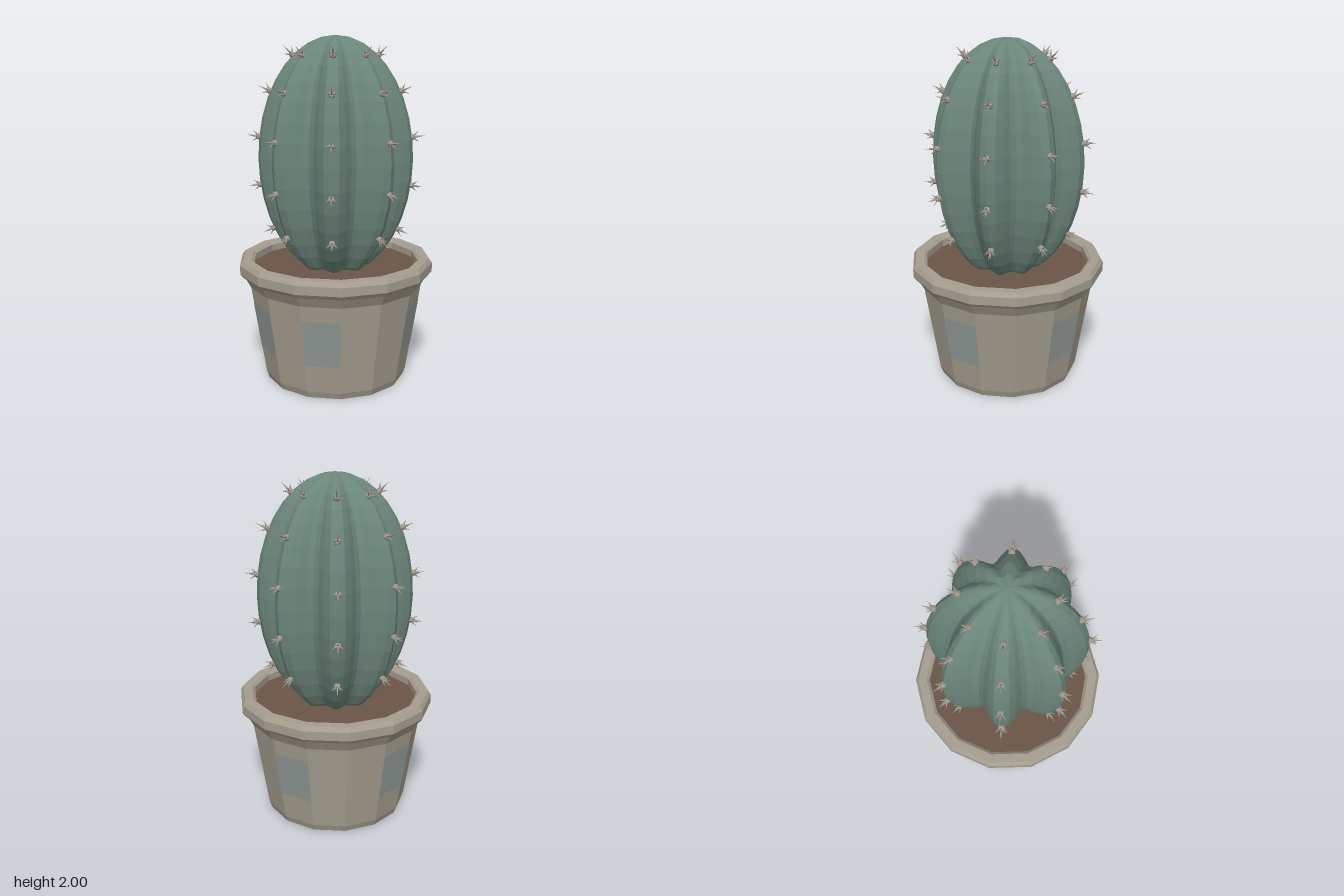
import * as THREE from 'three';

const SIDES = 14;   // pot facets
const RIBS = 8;     // cactus ribs
const BODY = { r: 0.447, h: 0.7, y: 1.3 };   // ellipsoid through the rib crests

const mat = (color, extra = {}) =>
  new THREE.MeshStandardMaterial({ color, flatShading: true, ...extra });

function lathe(name, profile, segments, material) {
  const points = profile.map(([r, y]) => new THREE.Vector2(r, y));
  const mesh = new THREE.Mesh(new THREE.LatheGeometry(points, segments), material);
  mesh.name = name;
  return mesh;
}

// Radius of the rib crest at height y
const crestRadius = (y) => BODY.r * Math.sqrt(Math.max(0, 1 - ((y - BODY.y) / BODY.h) ** 2));

function createPot() {
  const pot = new THREE.Group();
  pot.name = 'pot';
  pot.add(lathe('potShell', [
    [0, 0], [0.41, 0], [0.425, 0.04], [0.508, 0.57], [0.54, 0.628],
    [0.555, 0.635], [0.57, 0.655], [0.57, 0.705], [0.553, 0.73],
    [0.502, 0.73], [0.485, 0.715], [0.485, 0.66],
  ], SIDES, mat(0xa69f90)));
  pot.add(lathe('soil', [[0.487, 0.675], [0, 0.675]], SIDES, mat(0x6b5647)));

  // Tinted panels on every third facet
  const step = (Math.PI * 2) / SIDES;
  const panelMat = mat(0x929a97, { side: THREE.DoubleSide });
  const radiusAt = (y) => 0.425 + ((y - 0.04) / 0.53) * 0.083 + 0.002;
  for (let k = 1; k < SIDES; k += 3) {
    const geo = new THREE.CylinderGeometry(
      radiusAt(0.48), radiusAt(0.205), 0.275, 1, 1, true, k * step, step);
    const panel = new THREE.Mesh(geo, panelMat);
    panel.position.y = 0.3425;
    panel.name = 'potPanel';
    pot.add(panel);
  }
  return pot;
}

function createBody() {
  const rows = 18;
  const profile = [];
  for (let i = 0; i <= rows; i++) {
    const a = (i / rows) * Math.PI;
    profile.push([BODY.r * Math.sin(a), BODY.y - BODY.h * Math.cos(a)]);
  }
  const body = lathe('cactusBody', profile, RIBS * 8, mat(0x6c867b));
  // Pull the valleys between the ribs inward
  const pos = body.geometry.attributes.position;
  for (let i = 0; i < pos.count; i++) {
    const x = pos.getX(i), z = pos.getZ(i);
    const k = 0.875 + 0.125 * Math.cos(RIBS * Math.atan2(x, z));
    pos.setX(i, x * k);
    pos.setZ(i, z * k);
  }
  body.geometry.computeVertexNormals();
  return body;
}

// A small bead with one long spine (+y) and four splayed short ones
function createSpineCluster(beadGeo, spineGeo, material) {
  const cluster = new THREE.Group();
  cluster.name = 'spineCluster';
  const bead = new THREE.Mesh(beadGeo, material);
  bead.name = 'areole';
  cluster.add(bead);
  const addSpine = (dir, length) => {
    const spine = new THREE.Mesh(spineGeo, material);
    spine.name = 'spine';
    spine.scale.y = length;
    spine.quaternion.setFromUnitVectors(new THREE.Vector3(0, 1, 0), dir.normalize());
    cluster.add(spine);
  };
  addSpine(new THREE.Vector3(0, 1, 0), 0.075);
  for (let i = 0; i < 4; i++) {
    const a = (i * Math.PI) / 2;
    addSpine(new THREE.Vector3(Math.cos(a) * 0.8, 1, Math.sin(a) * 0.8), 0.052);
  }
  return cluster;
}

function createSpines() {
  const spines = new THREE.Group();
  spines.name = 'spines';
  const material = mat(0xa0978c);
  const beadGeo = new THREE.SphereGeometry(0.019, 7, 5);
  const spineGeo = new THREE.ConeGeometry(0.008, 1, 5).translate(0, 0.5, 0);
  const up = new THREE.Vector3(0, 1, 0);
  for (let i = 0; i < RIBS; i++) {
    const rib = new THREE.Group();
    rib.name = 'ribSpines';
    rib.rotation.y = (i / RIBS) * Math.PI * 2;
    for (const y of [0.89, 1.15, 1.43, 1.69, 1.89]) {
      const r = crestRadius(y);
      const cluster = createSpineCluster(beadGeo, spineGeo, material);
      cluster.position.set(0, y, r);
      // Point along the ellipsoid normal
      const normal = new THREE.Vector3(0, (y - BODY.y) / BODY.h ** 2, r / BODY.r ** 2).normalize();
      cluster.quaternion.setFromUnitVectors(up, normal);
      rib.add(cluster);
    }
    spines.add(rib);
  }
  return spines;
}

export function createModel() {
  const model = new THREE.Group();
  model.name = 'pottedCactus';
  model.add(createPot(), createBody(), createSpines());
  return model;
}
